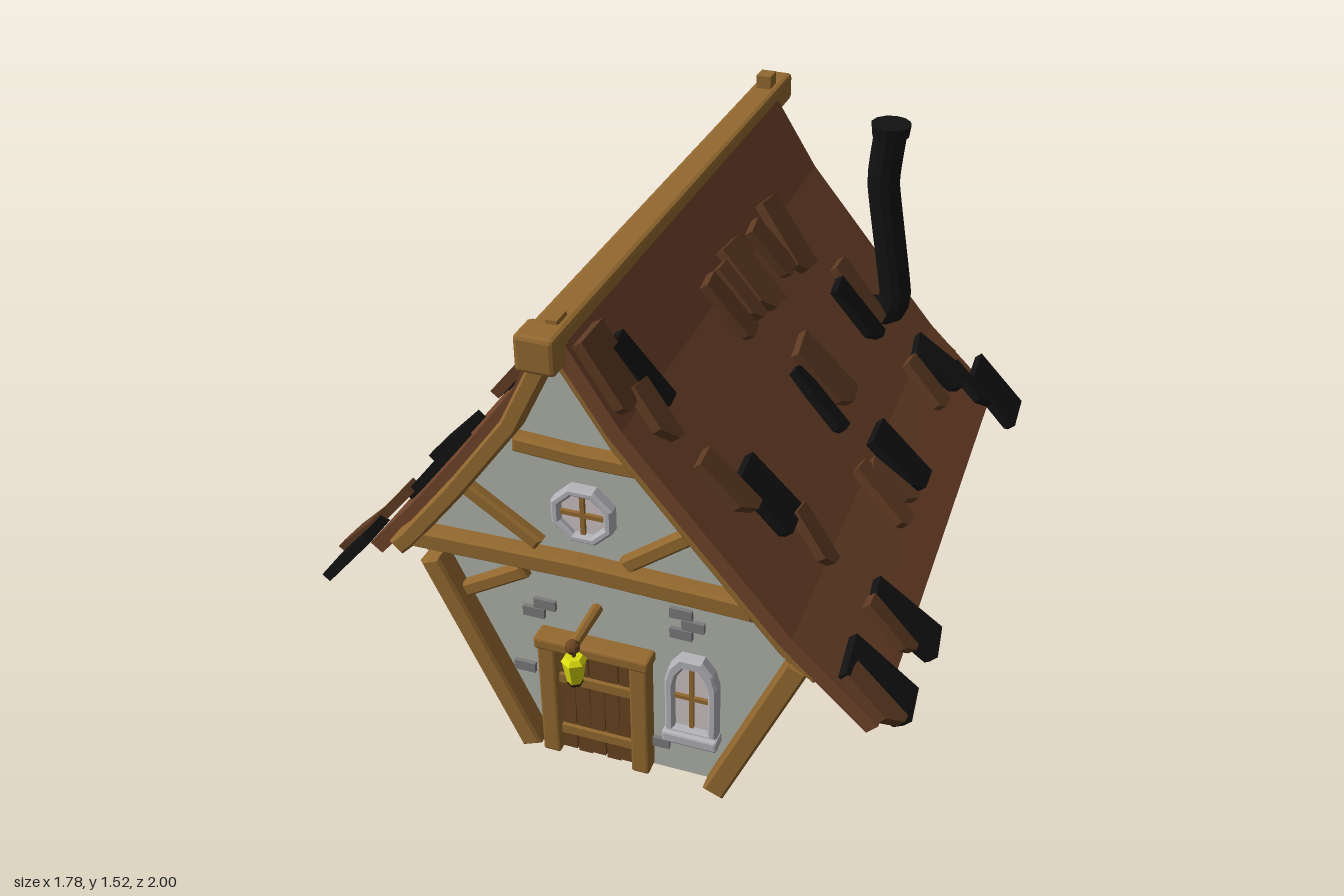
import * as THREE from 'three';
import { RoundedBoxGeometry } from 'three/addons/geometries/RoundedBoxGeometry.js';

const WOOD = 0x94692f, ROOF = 0x70432a, SHINGLE = 0x5e3a22, BLACK = 0x121212, WALL = 0xb2b4ac,
  BRICK = 0x7c7c7c, FRAME = 0xb4b4ba, GLASS = 0xcfc4c6, PLANK = 0x6b4522, GAP = 0x2a1a0c, LAMP = 0xdcdc10;

// Roof lines from ridge to eave, seen from the front
const RIGHT = [[-0.08, 1.465], [0.07, 1.225], [0.3, 0.945], [0.53, 0.67], [0.775, 0.435]];
const LEFT = [[-0.12, 1.465], [-0.24, 1.215], [-0.42, 0.965], [-0.58, 0.76], [-0.73, 0.585]];

const mats = {};
const mat = c => mats[c] ??= new THREE.MeshStandardMaterial({ color: c, flatShading: true });

function add(parent, name, geo, color, x = 0, y = 0, z = 0) {
  const m = new THREE.Mesh(geo, mat(color));
  m.name = name;
  m.position.set(x, y, z);
  parent.add(m);
  return m;
}
const box = (w, h, d) => new THREE.BoxGeometry(w, h, d);
const poly = pts => new THREE.Shape(pts.map(p => new THREE.Vector2(p[0], p[1])));

function extrude(shape, depth, bevel = 0) {
  return new THREE.ExtrudeGeometry(shape, {
    depth: depth - 2 * bevel, bevelEnabled: bevel > 0, bevelSize: bevel,
    bevelThickness: bevel, bevelOffset: -bevel, bevelSegments: 1, curveSegments: 6,
  }).translate(0, 0, bevel);
}

// Strip of constant width along a polyline
function ribbon(pts, w, depth, bevel = 0) {
  const a = [], b = [];
  pts.forEach((p, i) => {
    const q = pts[Math.max(i - 1, 0)], r = pts[Math.min(i + 1, pts.length - 1)];
    const dx = r[0] - q[0], dy = r[1] - q[1], k = w / 2 / Math.hypot(dx, dy);
    a.push([p[0] - dy * k, p[1] + dx * k]);
    b.unshift([p[0] + dy * k, p[1] - dx * k]);
  });
  return extrude(poly([...a, ...b]), depth, bevel);
}
const drop = (pts, d) => pts.map(([x, y]) => [x, y - d]);

// Timber framing of one gable end, starting at depth z
function timbers(g, z, zLeft, zRight, zPost, postDepth) {
  const t = (name, pts, w, d = 0.07, zz = z) => add(g, name, ribbon(pts, w, d, 0.008), WOOD, 0, 0, zz);
  t('leftBargeBoard', [...drop(LEFT.slice(0, 4), 0.055), [-0.62, 0.665]], 0.052, 0.08, zLeft);
  t('rightBargeBoard', [...drop(RIGHT.slice(0, 4), 0.05), [0.62, 0.55]], 0.052, 0.08, zRight);
  t('cornerPost', [[-0.51, 0.66], [-0.235, 0.03]], 0.065, postDepth, zPost);
  t('cornerPost', [[0.56, 0.57], [0.325, 0.015]], 0.065, postDepth, zPost);
  t('crossBeam', [[-0.57, 0.71], [-0.08, 0.722], [0.43, 0.71]], 0.062);
  t('collarBeam', [[-0.24, 1.1], [-0.06, 1.09], [0.12, 1.09]], 0.05, 0.06);
  t('brace', [[-0.4, 0.91], [-0.19, 0.765]], 0.046, 0.05);
  t('brace', [[0.27, 0.92], [0.06, 0.755]], 0.046, 0.05);
  t('brace', [[-0.45, 0.53], [-0.24, 0.66]], 0.046, 0.05);
}

const octagon = r => Array.from({ length: 8 }, (_, i) => {
  const a = (i + 0.5) * Math.PI / 4;
  return [Math.cos(a) * r, Math.sin(a) * r];
});
const arch = (w, h) => [[-w / 2, 0], [w / 2, 0], [w / 2, h * 0.68], [w * 0.42, h * 0.84], [w * 0.22, h * 0.98],
  [-w * 0.22, h * 0.98], [-w * 0.42, h * 0.84], [-w / 2, h * 0.68]];

// Window from an outer and inner outline, with cross bars
function windowUnit(parent, name, outer, inner, midY, w, h, x, y, z, back) {
  const g = new THREE.Group();
  g.name = name;
  const s = poly(outer);
  s.holes.push(poly(inner));
  add(g, 'windowFrame', extrude(s, 0.045, 0.007), FRAME, 0, 0, -0.01);
  add(g, 'glass', extrude(poly(inner), 0.015), GLASS);
  add(g, 'windowBar', box(0.013, h, 0.015), WOOD, 0, midY, 0.018);
  add(g, 'windowBar', box(w, 0.013, 0.015), WOOD, 0, midY, 0.018);
  g.position.set(x, y, z);
  if (back) g.rotation.y = Math.PI;
  parent.add(g);
  return g;
}
function archedWindow(parent, x, y, z, back) {
  const inner = arch(0.1, 0.23).map(([a, b]) => [a, b + 0.03]);
  const g = windowUnit(parent, 'archedWindow', arch(0.155, 0.3), inner, 0.145, 0.1, 0.22, x, y, z, back);
  add(g, 'windowSill', new RoundedBoxGeometry(0.165, 0.04, 0.06, 1, 0.008), FRAME, 0, 0, 0.02);
}
const roundWindow = (p, x, y, z, back) =>
  windowUnit(p, 'roundWindow', octagon(0.095), octagon(0.068), 0, 0.125, 0.125, x, y, z, back);

// Exposed bricks, in staggered clusters
const bricks = (n, place) => {
  for (let i = 0; i < n; i++) place((i % 2 ? 0.035 : 0) - 0.015, (i - (n - 1) / 2) * 0.036);
};

// Loose shingle lying on a roof slope
function shingle(g, side, x, z, w, l, color, i) {
  const prof = side > 0 ? RIGHT : LEFT;
  let k = 0;
  while (k < prof.length - 2 && (x - prof[k + 1][0]) * side > 0) k++;
  const [p, q] = [prof[k], prof[k + 1]];
  const slope = (q[1] - p[1]) / (q[0] - p[0]), ang = Math.atan(slope);
  const c = 0.02 + 0.015 * (i % 3);
  const shape = poly([[-l / 2, -w / 2], [l / 2 - c, -w / 2], [l / 2, -w / 2 + c], [l / 2, w / 2], [-l / 2, w * 0.44]]);
  const geo = extrude(shape, 0.03).rotateX(-Math.PI / 2);
  if (side < 0) geo.rotateY(Math.PI);
  const lift = 0.036 + 0.01 * (i % 3);
  const m = add(g, 'shingle', geo, color, x - Math.sin(ang) * lift / 2, p[1] + (x - p[0]) * slope + Math.cos(ang) * lift, z);
  m.rotation.set(0, Math.sin(i * 2.4) * 0.16, ang + side * 0.06 * Math.sin(i * 1.7), 'ZYX');
}

export function createModel() {
  const house = new THREE.Group();
  house.name = 'cottage';

  // Walls
  add(house, 'walls', extrude(poly([[-0.25, 0.012], [0.345, 0.012], [0.57, 0.56], ...drop(RIGHT.slice(0, 4), 0.03).reverse(),
    ...drop(LEFT.slice(0, 4), 0.03), [-0.56, 0.66]]), 1.67), WALL, 0, 0, -0.87);

  // Roof slopes and ridge beam
  add(house, 'rightRoof', ribbon(RIGHT, 0.045, 1.72), ROOF, 0, 0, -0.84);
  add(house, 'leftRoof', ribbon(LEFT, 0.045, 1.735), ROOF, 0, 0, -0.955);
  add(house, 'ridgeBeam', new RoundedBoxGeometry(0.094, 0.096, 1.94, 1, 0.014), WOOD, -0.1, 1.458, -0.03);
  add(house, 'ridgeBeamEnd', new RoundedBoxGeometry(0.108, 0.106, 0.1, 1, 0.012), WOOD, -0.105, 1.456, 0.9);
  add(house, 'ridgePeg', box(0.03, 0.03, 0.06), WOOD, -0.09, 1.505, 0.84);
  add(house, 'ridgePeg', box(0.05, 0.06, 0.06), WOOD, -0.1, 1.52, -0.85);

  timbers(house, 0.78, 0.775, 0.785, 0.79, 0.075);
  timbers(house, -0.94, -0.94, -0.89, -0.94, 0.12);
  roundWindow(house, -0.055, 0.9, 0.8);
  roundWindow(house, -0.07, 0.92, -0.87, true);
  archedWindow(house, 0.25, 0.185, 0.8);
  archedWindow(house, 0.05, 0.22, -0.87, true);

  // Door
  const door = new THREE.Group();
  door.name = 'door';
  house.add(door);
  add(door, 'doorBack', box(0.24, 0.4, 0.02), GAP, -0.037, 0.215, 0.802);
  for (let i = 0; i < 5; i++) {
    const p = add(door, 'doorPlank', box(0.043, 0.39 + 0.01 * (i % 2), 0.025), PLANK, -0.127 + i * 0.045, 0.213, 0.81);
    p.rotation.z = (i % 2 ? 1 : -1) * 0.008;
  }
  for (const y of [0.1, 0.3]) add(door, 'doorBatten', box(0.22, 0.03, 0.03), WOOD, -0.037, y, 0.82);
  for (const x of [-0.177, 0.1]) add(door, 'doorPost', new RoundedBoxGeometry(0.055, 0.41, 0.07, 1, 0.008), WOOD, x, 0.217, 0.815);
  add(door, 'lintel', new RoundedBoxGeometry(0.345, 0.04, 0.08, 1, 0.008), WOOD, -0.037, 0.437, 0.82);

  // Lantern on its arm
  const lantern = new THREE.Group();
  lantern.name = 'lantern';
  lantern.position.set(-0.035, 0, 0.965);
  house.add(lantern);
  add(lantern, 'lanternArm', new THREE.CylinderGeometry(0.015, 0.018, 0.2, 8).rotateX(Math.PI / 2), WOOD, 0, 0.565, -0.08);
  add(lantern, 'armKnob', new THREE.SphereGeometry(0.022, 8, 6), PLANK, 0, 0.565, 0.005);
  add(lantern, 'lanternHook', new THREE.CylinderGeometry(0.006, 0.006, 0.05, 6), PLANK, 0, 0.54, 0);
  add(lantern, 'lanternCap', new THREE.CylinderGeometry(0.024, 0.036, 0.014, 6), LAMP, 0, 0.521, 0);
  add(lantern, 'lanternGlass', new THREE.CylinderGeometry(0.034, 0.022, 0.074, 6), LAMP, 0, 0.477, 0);
  add(lantern, 'lanternBase', new THREE.CylinderGeometry(0.022, 0.022, 0.008, 6), GAP, 0, 0.436, 0);

  // Chimney pipe
  const path = new THREE.CatmullRomCurve3([[0.37, 0.85], [0.43, 0.855], [0.455, 0.93], [0.388, 1.33], [0.4, 1.51]]
    .map(([x, y]) => new THREE.Vector3(x, y, -0.6)), false, 'catmullrom', 0.2);
  add(house, 'chimney', new THREE.TubeGeometry(path, 20, 0.054, 12), BLACK);
  add(house, 'chimneyCap', new THREE.CylinderGeometry(0.065, 0.06, 0.04, 12), BLACK, 0.4, 1.518, -0.6);

  // Bricks on both gables and both side walls: position, then count
  [[0.23, 0.585, 3], [-0.21, 0.525, 2], [-0.25, 0.29, 1], [0.16, 0.115, 1]].forEach(([x, y, n]) =>
    bricks(n, (u, v) => add(house, 'brick', box(0.065, 0.033, 0.02), BRICK, x + u, y + v, 0.803)));
  [[0.2, 0.59, 3], [0.27, 0.4, 3], [-0.2, 0.43, 2], [-0.1, 0.16, 1], [0.17, 0.15, 1], [-0.15, 0.59, 1]].forEach(([x, y, n]) =>
    bricks(n, (u, v) => add(house, 'brick', box(0.065, 0.033, 0.02), BRICK, x + u, y + v, -0.873)));
  for (const s of [1, -1]) {
    [[0.47, 0.19, 3], [0.06, 0.27, 2], [-0.22, 0.16, 2], [-0.37, 0.33, 3], [-0.65, 0.21, 2], [0.58, 0.39, 1], [0.35, 0.4, 1]]
      .forEach(([z, y, n]) => bricks(n, (u, v) => {
        const f = (y + v - 0.012) / (s > 0 ? 0.548 : 0.648);
        const x = s > 0 ? 0.345 + 0.225 * f : -0.25 - 0.31 * f;
        add(house, 'brick', box(0.02, 0.033, 0.065), BRICK, x, y + v, s * z + u).rotation.z = s > 0 ? -0.39 : 0.44;
      }));
  }

  // Loose shingles: x, z, width, length, black or brown
  const B = BLACK, S = SHINGLE;
  [[0.0, 0.79, 0.14, 0.22, S], [0.04, 0.7, 0.09, 0.23, B], [0.1, 0.76, 0.08, 0.18, S], [0.1, 0.15, 0.08, 0.22, S],
    [0.1, 0.07, 0.07, 0.2, S], [0.1, -0.03, 0.13, 0.24, S], [0.1, -0.24, 0.09, 0.2, S], [0.11, -0.36, 0.12, 0.26, S],
    [0.28, 0.71, 0.09, 0.21, S], [0.36, 0.58, 0.14, 0.22, B], [0.48, 0.54, 0.07, 0.19, S], [0.34, -0.03, 0.13, 0.26, S],
    [0.36, 0.07, 0.06, 0.24, B], [0.32, -0.51, 0.1, 0.25, S], [0.34, -0.42, 0.09, 0.25, B], [0.59, 0.13, 0.08, 0.23, S],
    [0.6, 0.06, 0.06, 0.19, S], [0.59, -0.05, 0.14, 0.24, B], [0.58, -0.51, 0.09, 0.2, S], [0.59, -0.64, 0.14, 0.22, B],
    [0.7, -0.69, 0.06, 0.2, B], [0.78, -0.82, 0.18, 0.25, B], [0.74, 0.78, 0.16, 0.25, B], [0.74, 0.85, 0.08, 0.2, S],
    [0.75, 0.49, 0.14, 0.26, B], [0.72, 0.57, 0.06, 0.2, S]]
    .forEach(([x, z, w, l, c], i) => shingle(house, 1, x, z, w, l, c, i));
  [[-0.72, -0.85, 0.14, 0.19, S], [-0.72, -0.94, 0.07, 0.17, B], [-0.75, -0.59, 0.15, 0.19, B], [-0.56, -0.62, 0.06, 0.13, S],
    [-0.39, -0.79, 0.09, 0.25, S], [-0.4, -0.65, 0.14, 0.26, B], [-0.21, -0.66, 0.18, 0.28, B], [-0.23, -0.37, 0.09, 0.26, S],
    [-0.23, -0.28, 0.1, 0.26, B], [-0.23, -0.18, 0.13, 0.27, B], [-0.62, -0.19, 0.09, 0.21, S], [-0.62, -0.11, 0.06, 0.21, B],
    [-0.61, -0.02, 0.13, 0.22, B], [-0.36, -0.04, 0.12, 0.2, B], [-0.34, 0.38, 0.17, 0.25, B], [-0.23, 0.48, 0.16, 0.22, B],
    [-0.25, 0.64, 0.09, 0.24, S], [-0.6, 0.44, 0.08, 0.22, B], [-0.6, 0.57, 0.14, 0.22, B], [-0.71, 0.64, 0.06, 0.18, S],
    [-0.79, 0.69, 0.08, 0.2, S], [-0.78, 0.77, 0.14, 0.2, B]]
    .forEach(([x, z, w, l, c], i) => shingle(house, -1, x, z, w, l, c, i + 3));

  // Crooked look: the house sinks, narrows and leans a little towards the back
  house.updateMatrixWorld(true);
  const inv = new THREE.Matrix4(), v = new THREE.Vector3();
  house.traverse(m => {
    if (!m.isMesh) return;
    const pos = m.geometry.attributes.position;
    inv.copy(m.matrixWorld).invert();
    for (let i = 0; i < pos.count; i++) {
      v.fromBufferAttribute(pos, i).applyMatrix4(m.matrixWorld);
      const t = (0.88 - v.z) / 1.75;
      v.x += t * (0.03 * Math.min(1, v.y / 0.5) - 0.045 * v.x);
      v.y *= 1 - 0.0375 * t;
      v.applyMatrix4(inv);
      pos.setXYZ(i, v.x, v.y, v.z);
    }
    m.geometry.computeVertexNormals();
  });
  return house;
}
